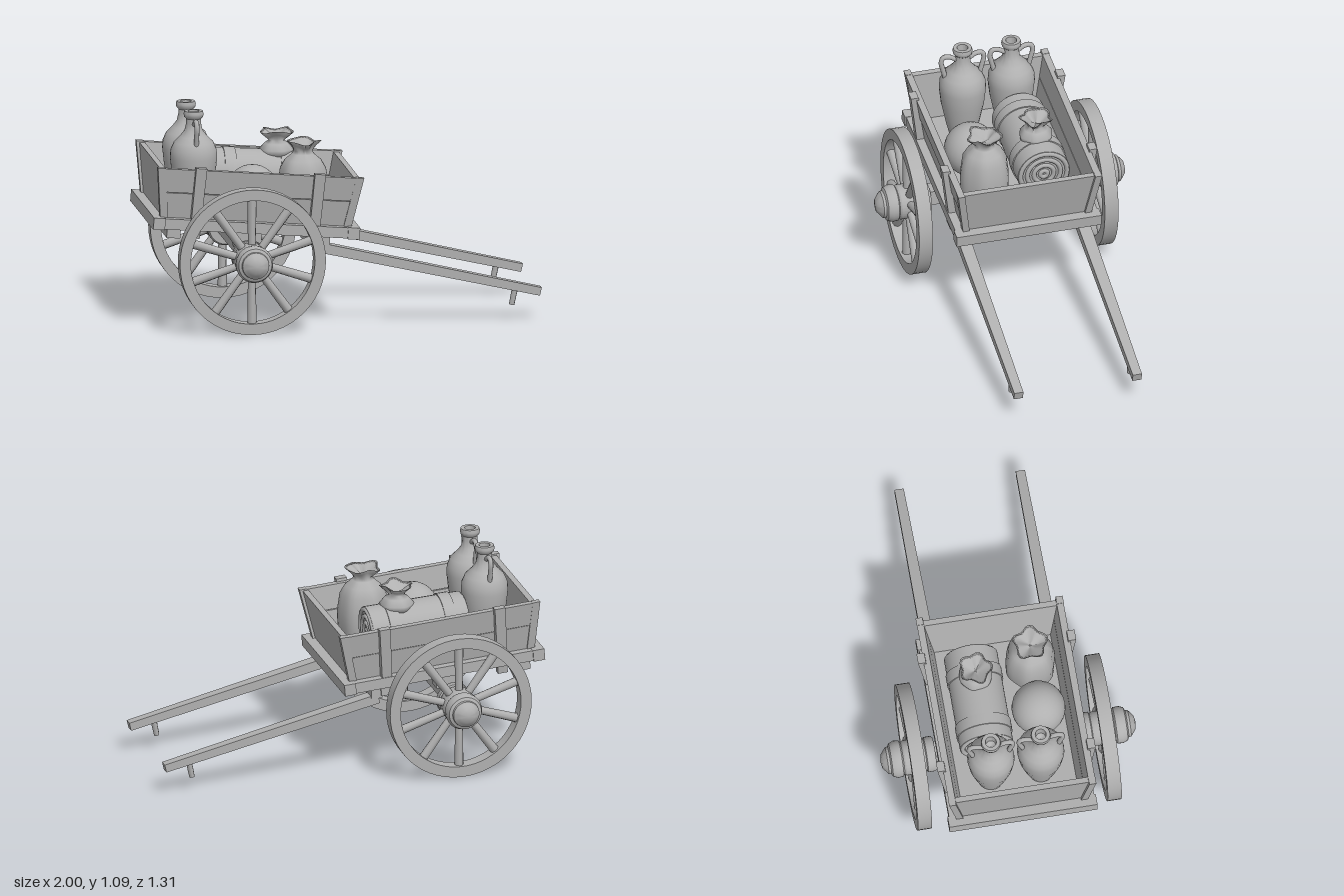
import * as THREE from 'three';
import { toCreasedNormals } from 'three/addons/utils/BufferGeometryUtils.js';

const grey = new THREE.MeshStandardMaterial({ color: 0xb0b0b0, side: THREE.DoubleSide });
grey.name = 'plainGrey';

function add(parent, name, geometry, x = 0, y = 0, z = 0) {
  const mesh = new THREE.Mesh(geometry, grey);
  mesh.name = name;
  mesh.position.set(x, y, z);
  parent.add(mesh);
  return mesh;
}
const box = (parent, name, w, h, d, x, y, z) => add(parent, name, new THREE.BoxGeometry(w, h, d), x, y, z);
const lathe = (points, segments = 32) =>
  toCreasedNormals(new THREE.LatheGeometry(points.map(([r, y]) => new THREE.Vector2(r, y)), segments), 0.7);

// Moves every vertex of a geometry by a rule
function reshape(geometry, rule) {
  const p = geometry.attributes.position;
  const v = new THREE.Vector3();
  for (let i = 0; i < p.count; i++) {
    rule(v.fromBufferAttribute(p, i));
    p.setXYZ(i, v.x, v.y, v.z);
  }
  geometry.computeVertexNormals();
  return geometry;
}

// Plank of a wall that flares outward from floor to top; length runs along x, outside faces +z
function plank(y0, y1, half0, half1, out0, out1, thick) {
  return reshape(new THREE.BoxGeometry(2, 1, 1), (v) => {
    const y = v.y < 0 ? y0 : y1;
    const t = y / 0.29;
    v.set(v.x * (half0 + (half1 - half0) * t), y, out0 + (out1 - out0) * t + (v.z < 0 ? -thick : 0));
  });
}

// Spoked wheel with turned hub, outside faces +z
function makeWheel() {
  const wheel = new THREE.Group();
  const rim = add(wheel, 'rim', lathe([[0.318, -0.036], [0.374, -0.036], [0.374, 0.036], [0.318, 0.036], [0.318, -0.036]], 56));
  rim.rotation.x = Math.PI / 2;
  for (let i = 0; i < 10; i++) {
    const a = (i * Math.PI) / 5;
    const spoke = add(wheel, 'spoke', new THREE.CylinderGeometry(0.024, 0.02, 0.28, 8), -Math.sin(a) * 0.2, Math.cos(a) * 0.2, 0);
    spoke.rotation.z = a;
  }
  const hub = add(wheel, 'hub', lathe([
    [0, -0.11], [0.082, -0.11], [0.09, -0.1], [0.09, -0.065], [0.082, -0.06], [0.088, -0.045], [0.09, 0.045],
    [0.082, 0.055], [0.093, 0.062], [0.095, 0.09], [0.085, 0.115], [0.07, 0.122], [0.068, 0.135], [0.05, 0.15],
    [0.035, 0.162], [0, 0.168]]));
  hub.rotation.x = Math.PI / 2;
  return wheel;
}

// Two-handled jar standing on the bed
function makeJar() {
  const jar = new THREE.Group();
  jar.name = 'jar';
  add(jar, 'jarBody', lathe([
    [0, 0], [0.06, 0], [0.085, 0.1], [0.11, 0.22], [0.12, 0.31], [0.117, 0.35], [0.1, 0.39], [0.07, 0.42],
    [0.046, 0.45], [0.038, 0.485], [0.038, 0.51], [0.048, 0.52], [0.051, 0.535], [0.047, 0.55], [0.028, 0.55],
    [0.025, 0.5], [0, 0.48]], 28));
  for (const s of [-1, 1]) {
    const path = [[0.035, 0.485], [0.07, 0.505], [0.1, 0.505], [0.112, 0.48], [0.102, 0.43], [0.088, 0.375]];
    const curve = new THREE.CatmullRomCurve3(path.map(([z, y]) => new THREE.Vector3(0, y, z * s)));
    add(jar, 'jarHandle', new THREE.TubeGeometry(curve, 20, 0.013, 8));
  }
  return jar;
}

// Tied sack with a ruffled mouth
function makeSack(parent, profile, neckY, x, y, z, turn) {
  const geometry = new THREE.LatheGeometry(profile.map(([r, h]) => new THREE.Vector2(r, h)), 30);
  reshape(geometry, (v) => {
    const a = Math.atan2(v.z, v.x);
    const k = v.y > neckY ? 1 + 0.13 * Math.sin(5 * a + 1) : 1 + 0.03 * Math.sin(6 * a);
    v.set(v.x * k, v.y + (v.y > neckY ? 0.008 * Math.sin(3 * a) : 0), v.z * k);
  });
  add(parent, 'sack', geometry, x, y, z).rotation.y = turn;
}

export function createModel() {
  const cart = new THREE.Group();
  cart.name = 'cart';

  // Tilted bed with its frame
  const bed = new THREE.Group();
  bed.name = 'bed';
  bed.position.set(-0.47, 0.52, 0);
  bed.rotation.z = -0.08;
  cart.add(bed);
  box(bed, 'floor', 0.98, 0.03, 0.68, 0, 0.005, 0);
  for (const s of [-1, 1]) {
    box(bed, 'sideSill', 1.04, 0.055, 0.055, 0, 0, s * 0.345);
    box(bed, 'endSill', 0.06, 0.06, 0.76, s * 0.5, 0, 0);
    box(bed, 'underBeam', 0.07, 0.045, 0.72, s * 0.36 - 0.06, -0.05, 0);
  }

  // Flared walls, two planks each on the long sides, with posts
  for (const s of [-1, 1]) {
    const side = new THREE.Group();
    side.name = 'sideWall';
    side.rotation.y = s > 0 ? 0 : Math.PI;
    bed.add(side);
    add(side, 'lowerPlank', plank(0.02, 0.158, 0.475, 0.515, 0.325, 0.372, 0.03));
    add(side, 'upperPlank', plank(0.162, 0.285, 0.475, 0.515, 0.33, 0.377, 0.035));
    for (const x of [-0.31, 0.3]) {
      const post = add(side, 'sidePost', plank(-0.07, 0.3, 0.026, 0.028, 0.365, 0.404, 0.04));
      post.position.x = x * s;
    }
    const end = new THREE.Group();
    end.name = 'endWall';
    end.rotation.y = (s * Math.PI) / 2;
    bed.add(end);
    add(end, 'endPanel', plank(0.02, 0.28, 0.318, 0.36, 0.475, 0.515, 0.03));
    for (const c of [-1, 1]) {
      const post = reshape(new THREE.BoxGeometry(0.035, 0.27, 0.04), (v) => {
        v.x += c * (0.318 + 0.042 * (v.y / 0.27 + 0.5));
        v.z += 0.47 + 0.04 * (v.y / 0.27 + 0.5);
        v.y += 0.152;
      });
      add(end, 'cornerPost', post);
    }
  }

  // Axle, its supports and the wheels
  box(cart, 'axle', 0.08, 0.08, 0.82, -0.51, 0.395, 0);
  for (const s of [-1, 1]) {
    box(cart, 'axleBlock', 0.14, 0.09, 0.07, -0.51, 0.465, s * 0.3);
    const wheel = makeWheel();
    wheel.name = 'wheel';
    wheel.position.set(-0.512, 0.376, s * 0.487);
    wheel.rotation.y = s > 0 ? 0 : Math.PI;
    cart.add(wheel);
  }

  // Pulling shafts with rest pegs
  box(cart, 'shaftBeam', 0.06, 0.06, 0.7, -0.12, 0.44, 0);
  for (const s of [-1, 1]) {
    const geometry = reshape(new THREE.BoxGeometry(1.155, 0.05, 0.066), (v) => {
      if (v.x > 0) { v.y *= 0.85; v.z *= 0.72; }
    });
    add(cart, 'shaft', geometry, 0.43, 0.273, s * 0.311).rotation.z = -0.228;
    add(cart, 'restPeg', new THREE.CylinderGeometry(0.016, 0.014, 0.09, 8), 0.855, 0.12, s * 0.311).rotation.z = -0.2;
  }

  // Jars
  for (const z of [-0.128, 0.128]) {
    const jar = makeJar();
    jar.position.set(-0.755, 0.54, z);
    cart.add(jar);
  }

  // Rolled bundle with straps and coiled ends
  const roll = new THREE.Group();
  roll.name = 'roll';
  roll.position.set(-0.385, 0.695, -0.13);
  roll.rotation.z = -0.06;
  cart.add(roll);
  const along = (mesh) => { mesh.rotation.z = Math.PI / 2; };
  along(add(roll, 'rollBody', toCreasedNormals(new THREE.CylinderGeometry(0.137, 0.137, 0.5, 32), 0.7)));
  for (const x of [-0.16, 0.13]) {
    along(add(roll, 'strap', toCreasedNormals(new THREE.CylinderGeometry(0.143, 0.143, 0.06, 32), 0.7), x));
  }
  for (const s of [-1, 1]) {
    for (const r of [0.122, 0.087, 0.052, 0.018]) {
      add(roll, 'coil', new THREE.TorusGeometry(r, 0.013, 8, 28), s * 0.248).rotation.y = Math.PI / 2;
    }
  }

  // Round bundle and tied sacks
  const ball = add(cart, 'roundBundle', new THREE.SphereGeometry(0.137, 24, 16), -0.46, 0.67, 0.165);
  ball.scale.y = 1.02;
  makeSack(cart, [[0, 0], [0.1, 0], [0.125, 0.07], [0.127, 0.18], [0.115, 0.27], [0.09, 0.315], [0.055, 0.345],
    [0.046, 0.36], [0.06, 0.385], [0.085, 0.41], [0.07, 0.402], [0.03, 0.375], [0, 0.37]], 0.365, -0.2, 0.515, 0.165, 0);
  makeSack(cart, [[0, 0], [0.08, 0], [0.085, 0.03], [0.06, 0.06], [0.038, 0.075], [0.055, 0.1], [0.08, 0.125],
    [0.065, 0.117], [0.025, 0.09], [0, 0.085]], 0.08, -0.29, 0.8, -0.13, 1);

  return cart;
}
